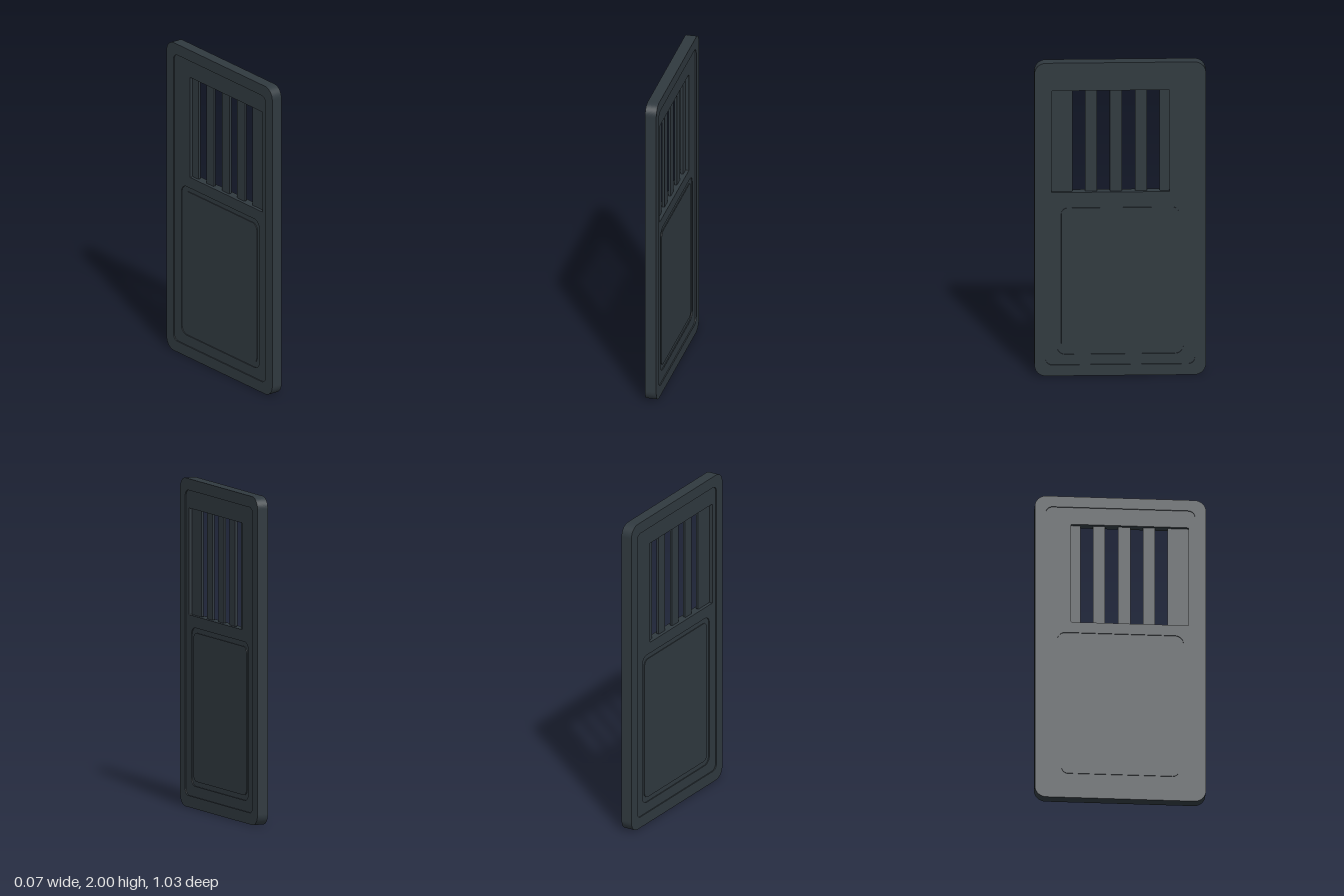
import * as THREE from 'three';

// Rounded rectangle from opposite corners, drawn in door-face coordinates (u = -z, v = y)
function roundedRect(u0, v0, u1, v1, r, Type = THREE.Shape) {
  const s = new Type();
  s.moveTo(u0 + r, v0);
  s.lineTo(u1 - r, v0);
  s.absarc(u1 - r, v0 + r, r, -Math.PI / 2, 0, false);
  s.lineTo(u1, v1 - r);
  s.absarc(u1 - r, v1 - r, r, 0, Math.PI / 2, false);
  s.lineTo(u0 + r, v1);
  s.absarc(u0 + r, v1 - r, r, Math.PI / 2, Math.PI, false);
  s.lineTo(u0, v0 + r);
  s.absarc(u0 + r, v0 + r, r, Math.PI, Math.PI * 1.5, false);
  return s;
}

export function createModel() {
  const door = new THREE.Group();
  door.name = 'cellDoor';
  const steel = new THREE.MeshStandardMaterial({ color: 0x30393f });
  steel.name = 'dark steel';

  // Slab centred on x = 0, extruded through the door's thickness
  function slab(name, shape, thickness, holes = []) {
    shape.holes.push(...holes);
    const geo = new THREE.ExtrudeGeometry(shape, { depth: thickness, bevelEnabled: false, curveSegments: 8 });
    geo.translate(0, 0, -thickness / 2);
    geo.rotateY(Math.PI / 2);
    const mesh = new THREE.Mesh(geo, steel);
    mesh.name = name;
    door.add(mesh);
  }

  const windowHole = () => roundedRect(-0.413, 1.17, 0.297, 1.82, 0.004, THREE.Path);

  // Raised outer border
  slab('outerFrame', roundedRect(-0.517, 0, 0.517, 2, 0.07), 0.07,
    [roundedRect(-0.45, 0.07, 0.45, 1.93, 0.04, THREE.Path)]);

  // Recessed face with openings for the window and the lower panel
  slab('doorFace', roundedRect(-0.45, 0.07, 0.45, 1.93, 0.04), 0.056,
    [windowHole(), roundedRect(-0.381, 0.135, 0.381, 1.1, 0.05, THREE.Path)]);

  // Lower panel: groove floor and raised centre
  slab('panelGroove', roundedRect(-0.381, 0.135, 0.381, 1.1, 0.05), 0.044);
  slab('lowerPanel', roundedRect(-0.355, 0.165, 0.355, 1.07, 0.04), 0.054);

  // Flat window bars on the middle plane, as [front z, back z]
  const bars = [[0.413, 0.286], [0.212, 0.138], [0.062, -0.012], [-0.09, -0.164], [-0.238, -0.297]];
  bars.forEach(([a, b], i) => slab(`windowBar${i + 1}`, roundedRect(-a, 1.17, -b, 1.82, 0.006), 0.014));

  return door;
}
